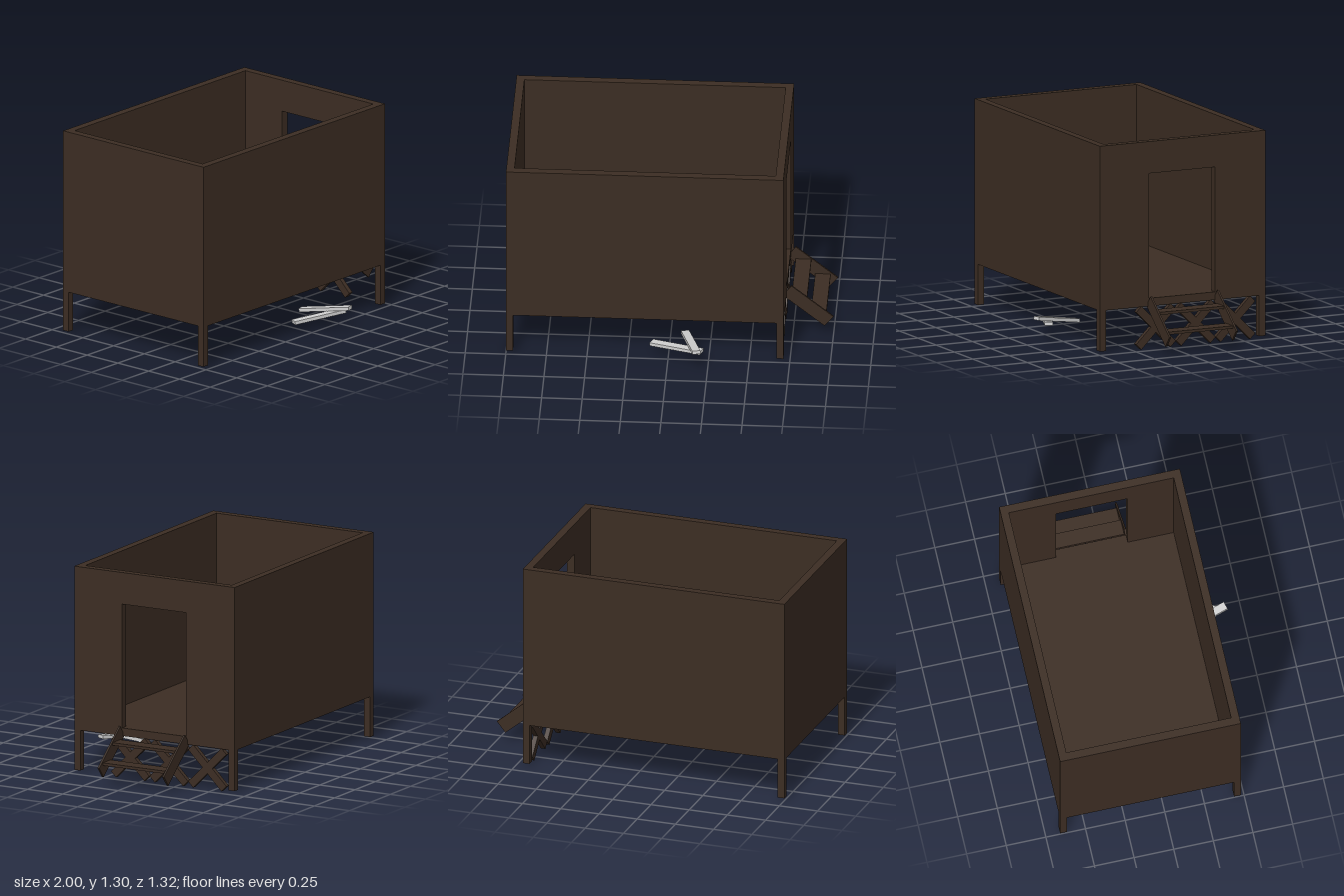
import * as THREE from 'three';

const wood = new THREE.MeshStandardMaterial({ color: 0x3c2d23 });
wood.name = 'dark wood';
const pale = new THREE.MeshStandardMaterial({ color: 0xd0d0d0 });
pale.name = 'pale grey';

export function createModel() {
  const model = new THREE.Group();
  model.name = 'stiltHut';

  const add = (name, geometry, material = wood) => {
    const mesh = new THREE.Mesh(geometry, material);
    mesh.name = name;
    model.add(mesh);
    return mesh;
  };
  // Box given by its limits on each axis
  const block = (name, x0, x1, y0, y1, z0, z1) => {
    const mesh = add(name, new THREE.BoxGeometry(x1 - x0, y1 - y0, z1 - z0));
    mesh.position.set((x0 + x1) / 2, (y0 + y1) / 2, (z0 + z1) / 2);
    return mesh;
  };

  const X0 = -1, X1 = 0.71, Z0 = -0.66, Z1 = 0.48, Y0 = 0.27, Y1 = 1.303, T = 0.05;

  // Floor and the three closed walls
  block('floor', X0 + T, X1 - T, Y0, Y0 + T, Z0 + T, Z1 - T);
  block('frontWall', X0, X1, Y0, Y1, Z1 - T, Z1);
  block('backWall', X0, X1, Y0, Y1, Z0, Z0 + T);
  block('rightWall', X0, X0 + T, Y0, Y1, Z0 + T, Z1 - T);

  // Wall with the doorway, drawn in (-z, y) and extruded along x
  const rect = (path, a, b, c, d) => path.moveTo(a, c).lineTo(b, c).lineTo(b, d).lineTo(a, d).closePath();
  const wall = rect(new THREE.Shape(), -Z1 + T, -Z0 - T, Y0, Y1);
  wall.holes.push(rect(new THREE.Path(), -0.14, 0.313, Y0 + T, 1.103));
  const doorWall = add('doorWall', new THREE.ExtrudeGeometry(wall, { depth: T, bevelEnabled: false }));
  doorWall.rotation.y = Math.PI / 2;
  doorWall.position.x = X1 - T;

  // Corner legs
  const leg = 0.043;
  for (const x of [X0, X1 - leg])
    for (const z of [Z0, Z1 - leg]) block('leg', x, x + leg, 0.015, Y0, z, z + leg);

  // Crossed braces under the doorway
  for (const z of [0.088, -0.187, -0.46])
    for (const side of [-1, 1]) {
      const brace = add('crossBrace', new THREE.BoxGeometry(0.03, 0.335, 0.05));
      brace.position.set(0.686, 0.136, z);
      brace.rotation.x = side * Math.PI / 4;
    }

  // Steps: two sloping stringers and two treads
  for (const z of [0.141, -0.319]) {
    const stringer = add('stairStringer', new THREE.BoxGeometry(0.335, 0.087, 0.012));
    stringer.position.set(0.843, 0.197, z);
    stringer.rotation.z = -0.687;
  }
  block('upperTread', 0.74, 0.836, 0.236, 0.253, -0.313, 0.135);
  block('lowerTread', 0.86, 0.955, 0.133, 0.15, -0.313, 0.135);

  // Loose pale planks, one resting on the other
  const plank = (name, a, b) => {
    const from = new THREE.Vector3(...a), to = new THREE.Vector3(...b);
    const mesh = add(name, new THREE.BoxGeometry(0.05, 0.022, from.distanceTo(to)), pale);
    mesh.position.copy(from).add(to).multiplyScalar(0.5);
    mesh.lookAt(to);
  };
  plank('lowerLoosePlank', [-0.105, 0.08, 0.44], [0.212, 0.111, 0.581]);
  plank('upperLoosePlank', [0.095, 0.092, 0.325], [0.184, 0.147, 0.652]);

  return model;
}
